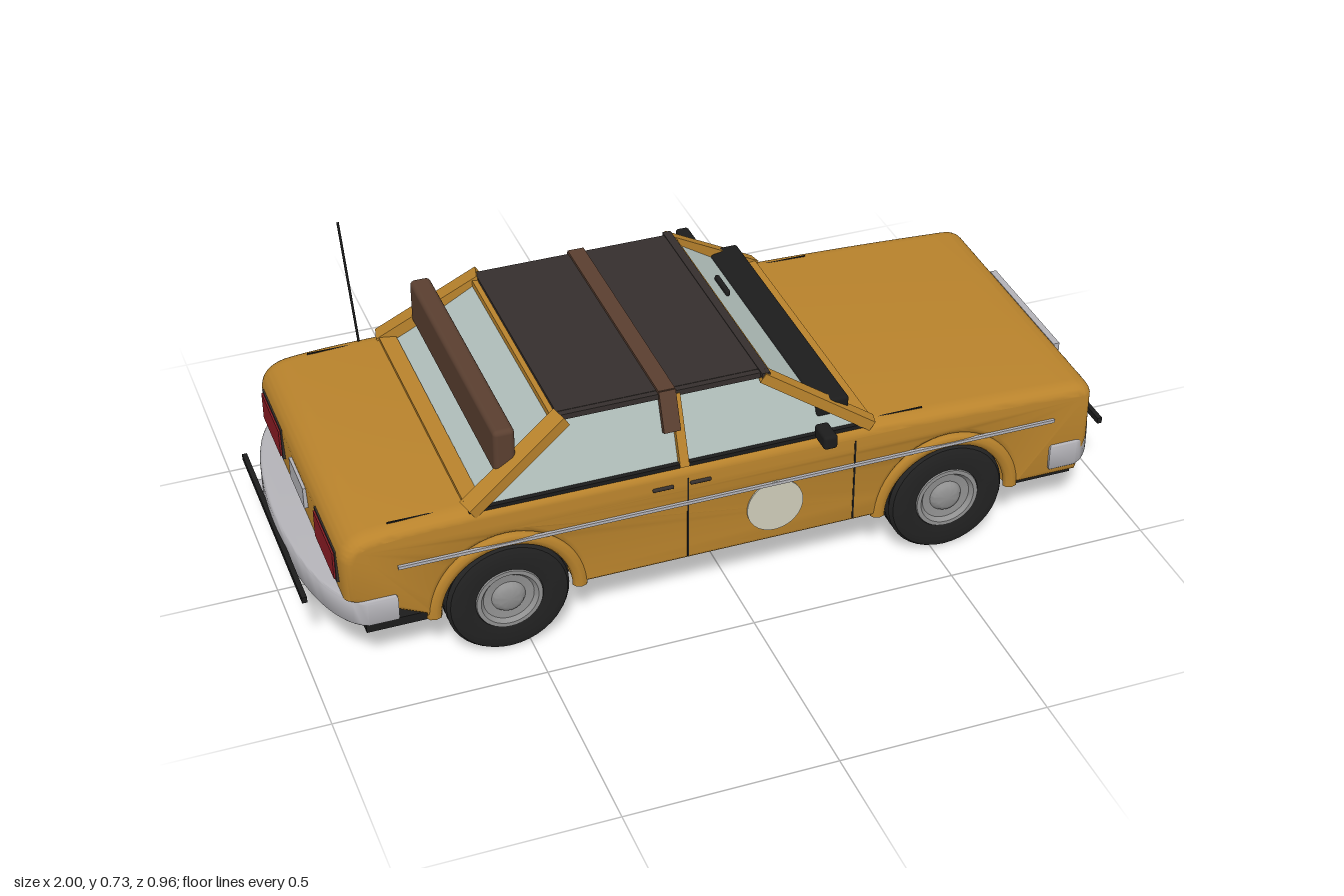
import * as THREE from 'three';
import { toCreasedNormals } from 'three/addons/utils/BufferGeometryUtils.js';
import { RoundedBoxGeometry } from 'three/addons/geometries/RoundedBoxGeometry.js';

const mat = (color) => new THREE.MeshStandardMaterial({ color });
const M = {
  paint: mat(0xb9832c), glass: mat(0xb2c0bc), roof: mat(0x352f2d), black: mat(0x1c1c1c),
  chrome: mat(0xb4b3b8), brown: mat(0x5a3f30), tyre: mat(0x222222), cream: mat(0xcfccba),
  red: mat(0x8c1c24), hub: mat(0x909090), lamp: mat(0xd8d8cc),
};
const WHEELS_X = [-0.55, 0.53], AXLE_Y = 0.145;

export function createModel() {
  const car = new THREE.Group();
  car.name = 'car';

  const add = (name, geo, material, x = 0, y = 0, z = 0) => {
    const mesh = new THREE.Mesh(geo, material);
    mesh.name = name;
    mesh.position.set(x, y, z);
    car.add(mesh);
    return mesh;
  };
  const box = (name, material, w, h, d, x, y, z) =>
    add(name, new THREE.BoxGeometry(w, h, d), material, x, y, z);
  const rbox = (name, material, w, h, d, x, y, z, r = 0.008) =>
    add(name, new RoundedBoxGeometry(w, h, d, 3, r), material, x, y, z);
  // Rectangular bar running between two points
  const beam = (name, material, a, b, w, h) => {
    const A = new THREE.Vector3(...a), B = new THREE.Vector3(...b);
    const mesh = box(name, material, w, h, A.distanceTo(B), 0, 0, 0);
    mesh.position.lerpVectors(A, B, 0.5);
    mesh.lookAt(B);
    return mesh;
  };

  // Body: side outline with wheel arches, rounded towards both sides
  const s = new THREE.Shape();
  s.moveTo(-0.89, 0.125);
  for (const x of WHEELS_X) s.absarc(x, AXLE_Y, 0.165, Math.PI + 0.12, -0.12, true);
  s.lineTo(0.88, 0.125);
  s.lineTo(0.905, 0.22);
  s.lineTo(0.905, 0.345);
  s.quadraticCurveTo(0.9, 0.372, 0.86, 0.376);
  s.quadraticCurveTo(0.6, 0.392, 0.33, 0.398);
  s.lineTo(-0.63, 0.402);
  s.quadraticCurveTo(-0.78, 0.402, -0.86, 0.392);
  s.quadraticCurveTo(-0.92, 0.38, -0.925, 0.33);
  s.lineTo(-0.92, 0.22);
  s.closePath();
  const bodyGeo = new THREE.ExtrudeGeometry(s, {
    depth: 0.69, bevelThickness: 0.04, bevelSize: 0.025, bevelOffset: -0.025,
    bevelSegments: 5, curveSegments: 14,
  });
  bodyGeo.translate(0, 0, -0.345);
  add('body', toCreasedNormals(bodyGeo, 0.7), M.paint);

  // Dark chassis around both axles, and low valances at the ends
  box('frontChassis', M.black, 0.5, 0.18, 0.62, 0.6, 0.205, 0);
  box('rearChassis', M.black, 0.5, 0.18, 0.62, -0.62, 0.205, 0);
  box('frontValance', M.black, 0.16, 0.022, 0.72, 0.79, 0.125, 0);
  box('rearValance', M.black, 0.17, 0.022, 0.72, -0.79, 0.125, 0);

  // Cabin glass: a box narrowed towards the roof
  const cabin = new THREE.BoxGeometry(1, 1, 1);
  const p = cabin.attributes.position;
  for (let i = 0; i < p.count; i++) {
    const top = p.getY(i) > 0, front = p.getX(i) > 0;
    const x = front ? (top ? 0.09 : 0.31) : (top ? -0.395 : -0.61);
    p.setXYZ(i, x, top ? 0.55 : 0.39, Math.sign(p.getZ(i)) * (top ? 0.305 : 0.365));
  }
  cabin.computeVertexNormals();
  add('cabinGlass', cabin, M.glass);

  // Roof with front and rear headers
  box('roof', M.roof, 0.5, 0.016, 0.6, -0.15, 0.553, 0);
  box('frontHeader', M.paint, 0.025, 0.016, 0.63, 0.095, 0.545, 0);
  box('rearHeader', M.paint, 0.025, 0.016, 0.63, -0.4, 0.545, 0);
  box('frontRoofEdge', M.roof, 0.02, 0.012, 0.65, 0.09, 0.557, 0);
  box('windscreenSill', M.paint, 0.04, 0.022, 0.7, 0.315, 0.4, 0);
  box('rearWindowSill', M.paint, 0.04, 0.022, 0.7, -0.615, 0.4, 0);
  rbox('windscreenBar', M.black, 0.08, 0.042, 0.705, 0.245, 0.45, 0);
  rbox('cabinMirror', M.black, 0.012, 0.016, 0.08, 0.163, 0.505, -0.135, 0.005);

  // Roof strap and the plank carried behind the cabin
  box('roofStrap', M.brown, 0.04, 0.016, 0.63, -0.145, 0.56, 0);
  rbox('plank', M.brown, 0.05, 0.115, 0.67, -0.53, 0.505, 0, 0.012);

  for (const k of [1, -1]) {
    // Pillars, rails and sills
    beam('frontPillar', M.paint, [0.335, 0.395, k * 0.368], [0.085, 0.552, k * 0.312], 0.032, 0.026);
    beam('rearPillar', M.paint, [-0.63, 0.395, k * 0.365], [-0.39, 0.552, k * 0.31], 0.045, 0.028);
    beam('middlePillar', M.paint, [-0.125, 0.39, k * 0.37], [-0.125, 0.55, k * 0.308], 0.022, 0.02);
    beam('roofRail', M.roof, [-0.4, 0.553, k * 0.307], [0.095, 0.553, k * 0.307], 0.016, 0.014);
    beam('strapEnd', M.brown, [-0.145, 0.565, k * 0.312], [-0.145, 0.475, k * 0.347], 0.04, 0.014);
    box('windowSill', M.black, 0.96, 0.01, 0.012, -0.15, 0.396, k * 0.37);

    // Side trim, door seams and handles
    box('sideStrip', M.chrome, 1.6, 0.008, 0.008, 0, 0.299, k * 0.388);
    for (const x of [-0.12, 0.29]) box('doorSeam', M.black, 0.004, 0.22, 0.003, x, 0.255, k * 0.385);
    for (const x of [-0.18, -0.09]) rbox('doorHandle', M.roof, 0.05, 0.008, 0.01, x, 0.352, k * 0.386, 0.003);
    for (const [x, y] of [[0.38, 0.398], [-0.72, 0.402]])
      box('panelSeam', M.black, 0.18, 0.003, 0.003, x, y - 0.003, k * 0.352);
    const disc = add('doorDisc', new THREE.CylinderGeometry(0.069, 0.069, 0.005, 40), M.cream, 0.093, 0.235, k * 0.386);
    disc.rotation.x = Math.PI / 2;

    // Door mirrors
    rbox('doorMirror', M.black, 0.034, 0.036, 0.062, 0.187, 0.448, k * 0.449);
    beam('mirrorArm', M.chrome, [0.23, 0.405, k * 0.378], [0.19, 0.44, k * 0.43], 0.01, 0.01);

    // Lamps
    for (const z of [0.22, 0.292]) {
      const ring = add('headlampRing', new THREE.TorusGeometry(0.033, 0.005, 8, 28), M.chrome, 0.91, 0.304, k * z);
      ring.rotation.y = Math.PI / 2;
      const lens = add('headlamp', new THREE.SphereGeometry(0.032, 24, 12), M.lamp, 0.905, 0.304, k * z);
      lens.scale.x = 0.4;
    }
    box('tailLampFrame', M.roof, 0.012, 0.082, 0.18, -0.922, 0.295, k * 0.245);
    box('tailLamp', M.red, 0.014, 0.07, 0.168, -0.925, 0.295, k * 0.245);

    for (const x of WHEELS_X) {
      const flare = add('archFlare', new THREE.TorusGeometry(0.172, 0.018, 8, 32, Math.PI), M.paint, x, 0.13, k * 0.376);
      flare.scale.z = 0.75;
      car.add(wheel(x, k));
    }
  }

  // Grille: dark backing, frame and bars
  box('grilleBack', M.black, 0.01, 0.112, 0.344, 0.904, 0.3, 0);
  for (const e of [1, -1]) {
    box('grilleFrame', M.chrome, 0.016, 0.006, 0.35, 0.909, 0.3 + e * 0.055, 0);
    box('grilleFrame', M.chrome, 0.016, 0.116, 0.006, 0.909, 0.3, e * 0.172);
  }
  for (let i = 0; i < 10; i++) box('grilleBar', M.chrome, 0.01, 0.004, 0.34, 0.908, 0.255 + i * 0.01, 0);
  for (let i = -1; i <= 1; i++) box('grilleUpright', M.chrome, 0.012, 0.11, 0.005, 0.909, 0.3, i * 0.086);

  // Bumpers: wrap-around plan shape, with a straight rub strip
  const b = new THREE.Shape();
  b.moveTo(0.795, -0.375);
  b.lineTo(0.795, -0.392);
  b.lineTo(0.865, -0.392);
  b.bezierCurveTo(0.95, -0.36, 0.982, -0.16, 0.982, 0);
  b.bezierCurveTo(0.982, 0.16, 0.95, 0.36, 0.865, 0.392);
  b.lineTo(0.795, 0.392);
  b.lineTo(0.795, 0.375);
  b.lineTo(0.86, 0.36);
  b.lineTo(0.86, -0.36);
  b.closePath();
  const bumperGeo = new THREE.ExtrudeGeometry(b, {
    depth: 0.052, bevelThickness: 0.009, bevelSize: 0.007, bevelOffset: -0.007, bevelSegments: 3, curveSegments: 16,
  });
  bumperGeo.rotateX(-Math.PI / 2);
  const bumper = toCreasedNormals(bumperGeo, 0.7);
  add('frontBumper', bumper, M.chrome, 0, 0.164, 0);
  add('rearBumper', bumper, M.chrome, -0.01, 0.164, 0).rotation.y = Math.PI;
  box('frontRubStrip', M.black, 0.012, 0.015, 0.58, 0.982, 0.188, 0);
  box('rearRubStrip', M.black, 0.012, 0.015, 0.58, -0.994, 0.188, 0);

  // Plates, exhaust and aerial
  box('frontPlateBack', M.black, 0.006, 0.062, 0.122, 0.99, 0.131, 0);
  box('frontPlate', M.cream, 0.004, 0.056, 0.116, 0.995, 0.131, 0);
  box('rearPlate', M.chrome, 0.012, 0.055, 0.13, -0.926, 0.295, 0);
  const pipe = add('exhaust', new THREE.CylinderGeometry(0.017, 0.017, 0.16, 18), M.chrome, -0.905, 0.135, -0.23);
  pipe.rotation.z = Math.PI / 2;
  const aerialPath = new THREE.LineCurve3(new THREE.Vector3(-0.68, 0.395, -0.364), new THREE.Vector3(-0.705, 0.728, -0.38));
  add('aerial', new THREE.TubeGeometry(aerialPath, 1, 0.003, 8), M.black);
  return car;
}

// Ribbed tyre with a dished rim, outer face towards side k
function wheel(x, k) {
  const g = new THREE.Group();
  g.name = 'wheel';
  const lathe = (name, pts, material) => {
    const geo = new THREE.LatheGeometry(pts.map(([r, y]) => new THREE.Vector2(r, y)), 40);
    const mesh = new THREE.Mesh(toCreasedNormals(geo, 0.6), material);
    mesh.name = name;
    g.add(mesh);
  };
  lathe('tyre', [[0, -0.03], [0.08, -0.034], [0.12, -0.04], [0.138, -0.034], [0.145, -0.024], [0.14, -0.012],
    [0.145, -0.004], [0.145, 0.004], [0.14, 0.012], [0.145, 0.024], [0.138, 0.034], [0.12, 0.04],
    [0.08, 0.036], [0.075, 0.022], [0, 0.022]], M.tyre);
  lathe('rim', [[0.08, 0.03], [0.078, 0.039], [0.068, 0.039], [0.06, 0.029], [0.04, 0.027],
    [0.034, 0.036], [0.024, 0.041], [0, 0.042]], M.hub);
  g.position.set(x, AXLE_Y, k * 0.355);
  g.rotation.x = k * Math.PI / 2;
  return g;
}
